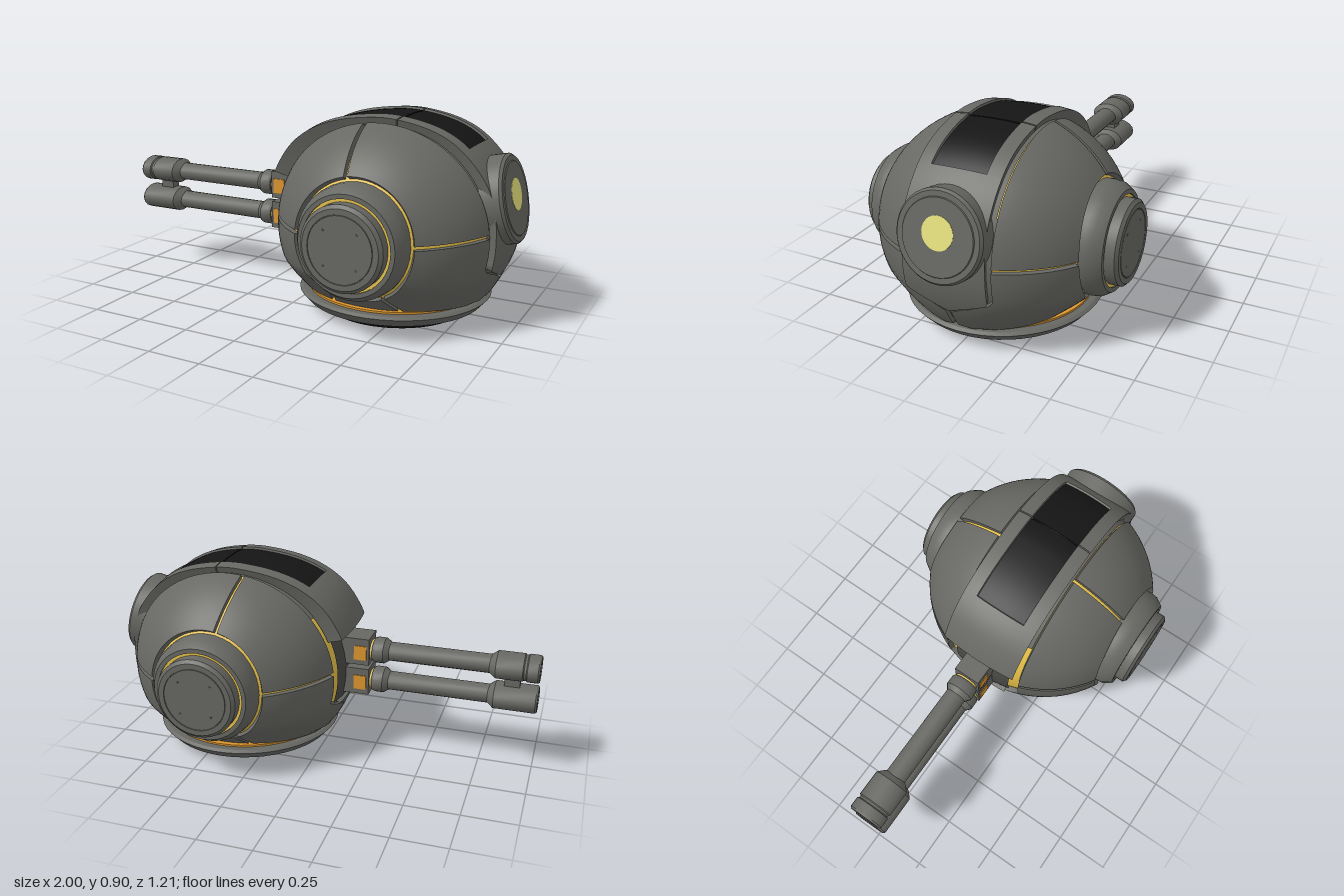
import * as THREE from 'three';
import { mergeGeometries, toCreasedNormals } from 'three/addons/utils/BufferGeometryUtils.js';

const mat = (name, color) => new THREE.MeshStandardMaterial({ name, color, side: THREE.DoubleSide });
const V = (x, y, z) => new THREE.Vector3(x, y, z);
const lerp = THREE.MathUtils.lerp;
const smooth = THREE.MathUtils.smoothstep;
const rad = THREE.MathUtils.degToRad;

// Body ellipsoid
const C = V(0.41, 0.40, 0), RX = 0.54, RY = 0.51, RZ = 0.56;
// Centre of the side hubs
const HUB_X = 0.418, HUB_Y = 0.42;

// Surface from a rule (u, v) => point
function sheet(f, nu, nv) {
  const pos = [], idx = [];
  for (let i = 0; i <= nu; i++) for (let j = 0; j <= nv; j++) pos.push(...f(i / nu, j / nv).toArray());
  for (let i = 0; i < nu; i++) for (let j = 0; j < nv; j++) {
    const a = i * (nv + 1) + j, b = a + nv + 1;
    idx.push(a, b, a + 1, b, b + 1, a + 1);
  }
  const g = new THREE.BufferGeometry();
  g.setAttribute('position', new THREE.Float32BufferAttribute(pos, 3));
  g.setIndex(idx);
  g.computeVertexNormals();
  return g;
}

// Armour plate: curved sheet with walls down to the core
function plate(f, nu, nv, depth) {
  const wall = (edge, n) => sheet((s, t) => { const p = edge(s); return p.lerp(C, t * (1 - depth)); }, n, 1);
  return mergeGeometries([
    sheet(f, nu, nv),
    wall(s => f(s, 0), nu), wall(s => f(s, 1), nu),
    wall(s => f(0, s), nv), wall(s => f(1, s), nv),
  ]);
}

// Half width of the centre band; it narrows to a point low down
const bandHalf = y => 0.19 * THREE.MathUtils.clamp((y - 0.21) / 0.07, 0, 1);
// The flanks tuck in towards the base
const tuck = p => { p.z *= 1 - 0.17 * THREE.MathUtils.clamp((0.25 - p.y) / 0.15, 0, 1); return p; };

// Wedge-shaped flank plate, radiating from the side hub
function wedge(a0, a1, side) {
  const gap = 0.009, inner = 0.272;
  const at = (u, r) => {
    const a = lerp(rad(a0) + gap / r, rad(a1) - gap / r, u);
    const x = HUB_X + r * Math.cos(a), y = HUB_Y + r * Math.sin(a);
    const k = 1 - ((x - C.x) / RX) ** 2 - ((y - C.y) / RY) ** 2;
    return V(x, y, k > 0 ? RZ * Math.sqrt(k) : -1);
  };
  const limits = new Map();
  const limit = u => {
    if (limits.has(u)) return limits.get(u);
    let lo = inner, hi = 0.62;
    for (let i = 0; i < 30; i++) {
      const m = (lo + hi) / 2, p = at(u, m);
      if (p.y > 0.099 && p.z > bandHalf(p.y) + 0.013) lo = m; else hi = m;
    }
    limits.set(u, lo);
    return lo;
  };
  return plate((u, v) => {
    const p = tuck(at(u, lerp(inner, limit(u), 1 - (1 - v) ** 2)));
    p.z *= side;
    return p;
  }, 28, 12, 0.93);
}

// Plate of the centre band between two angles, za and zb as fractions of its half width
function band(d0, d1, za, zb, sink = 0) {
  return plate((u, v) => {
    const d = lerp(d0, d1, u), a = rad(d);
    const y = C.y + RY * Math.sin(a), z = lerp(za, zb, v) * bandHalf(y);
    const flare = 0.1 * smooth(d, 95, 145) * (1 - smooth(d, 160, 190)) + 0.035 * smooth(d, 0, 30) * (1 - smooth(d, 50, 82));
    const f = (1 + flare - sink) * Math.sqrt(1 - (z / 0.84) ** 2);
    return V(C.x + RX * f * Math.cos(a), C.y + RY * f * Math.sin(a), z);
  }, 36, 8, 0.86);
}

// Inner lining beneath the centre band, just above the core
const lining = (d0, d1, half) => sheet((u, v) => {
  const a = rad(lerp(d0, d1, u)), z = lerp(-half, half, v);
  const f = 0.97 * Math.sqrt(1 - (z / RZ) ** 2);
  return tuck(V(C.x + RX * f * Math.cos(a), C.y + RY * f * Math.sin(a), z));
}, 48, 8);

const lathe = (pts, seg = 40) =>
  toCreasedNormals(new THREE.LatheGeometry(pts.map(p => new THREE.Vector2(...p)), seg), 0.5);

export function createModel() {
  const root = new THREE.Group();
  root.name = 'turret';
  const grey = mat('gunmetal', 0x676763), black = mat('black', 0x151515), dark = mat('darkRecess', 0x4a4a47);
  const gold = mat('gold', 0xe8c24a), orange = mat('orange', 0xdc962e), lens = mat('paleYellow', 0xe8e480);
  const add = (name, geo, m, parent = root) => {
    const o = new THREE.Mesh(geo, m);
    o.name = name;
    parent.add(o);
    return o;
  };

  // Base
  add('baseFoot', lathe([[0, 0], [0.335, 0], [0.4, 0.04]], 48), black).position.x = C.x;
  add('baseRing', lathe([[0.39, 0.038], [0.41, 0.04], [0.445, 0.08], [0.43, 0.09], [0.3, 0.09]], 48), grey).position.x = C.x;
  add('baseSeam', lathe([[0.4, 0.088], [0.4, 0.099], [0.36, 0.099]], 48), orange).position.x = C.x;

  // Glowing core seen through the seams
  add('core', sheet((u, v) => {
    const a = u * Math.PI * 2, b = lerp(-0.66, Math.PI / 2, v);
    return tuck(V(C.x + 0.955 * RX * Math.cos(b) * Math.cos(a), C.y + 0.955 * RY * Math.sin(b), 0.955 * RZ * Math.cos(b) * Math.sin(a)));
  }, 48, 24), gold);

  // Flank plates and hubs, mirrored front and back
  for (const side of [1, -1]) {
    [[2, 100], [100, 178], [178, 245], [245, 297], [297, 362]].forEach(([a, b], i) =>
      add('flankPlate' + (i + 1), wedge(a, b, side), grey));
    const hub = new THREE.Group();
    hub.name = side > 0 ? 'frontHub' : 'backHub';
    hub.position.set(HUB_X, HUB_Y, 0);
    hub.rotation.x = side * Math.PI / 2;
    root.add(hub);
    add('hubCollar', lathe([[0.25, 0.42], [0.25, 0.48], [0.245, 0.515], [0.22, 0.553], [0.2, 0.553], [0.2, 0.53]]), grey, hub);
    add('hubSeam', lathe([[0.2, 0.545], [0.18, 0.545]]), gold, hub);
    add('hubCap', lathe([[0.187, 0.535], [0.187, 0.592], [0.172, 0.605], [0.148, 0.605], [0.147, 0.601], [0.145, 0.601], [0.144, 0.605], [0, 0.605]]), grey, hub);
    for (const x of [-0.075, 0.075]) for (const z of [-0.075, 0.075])
      add('bolt', new THREE.CylinderGeometry(0.006, 0.006, 0.004, 8), dark, hub).position.set(x, 0.604, z);
  }

  // Centre band: hood, window rails, windows, rear and lower plates
  add('hood', band(129, 158, -1, 1), grey);
  for (const [d0, d1, tag] of [[82.7, 129, 'Fore'], [47.5, 82, 'Aft']]) {
    add('rail' + tag, band(d0, d1, 0.66, 1), grey);
    add('rail' + tag, band(d0, d1, -1, -0.66), grey);
    add('window' + tag, band(d0, d1, -0.67, 0.67, 0.02), black);
  }
  add('rearPlate', band(-21.8, 47.5, -1, 1), grey);
  add('lowerGunPlate', band(196, 201.8, -1, 1), grey);
  add('rearLining', lining(-38, 30, 0.2), grey);
  add('upperLining', lining(30, 142, 0.194), grey);
  add('gunRecess', lining(142, 196, 0.15), dark);
  add('lowerLining', lining(196, 218, 0.2), grey);

  // Rear eye
  const eye = new THREE.Group();
  eye.name = 'eye';
  eye.position.set(0.959, 0.565, 0);
  eye.rotation.z = -rad(78);
  root.add(eye);
  add('eyeHousing', lathe([[0.196, -0.14], [0.196, -0.012], [0.186, 0], [0.163, 0], [0.16, 0.004], [0, 0.004]]), grey, eye);
  add('eyeLens', new THREE.CylinderGeometry(0.071, 0.071, 0.004, 32), lens, eye).position.set(-0.018, 0.0035, 0);

  // Twin guns pointing along -x
  for (const y of [0.5, 0.35]) {
    const gun = new THREE.Group();
    gun.name = y > 0.4 ? 'upperGun' : 'lowerGun';
    gun.position.y = y;
    root.add(gun);
    const along = (name, pts, m, zScale = 1) => {
      const o = add(name, lathe(pts, 16), m, gun);
      o.rotation.z = Math.PI / 2;
      o.scale.z = zScale;
    };
    add('mantlet', new THREE.BoxGeometry(0.17, 0.13, 0.13), grey, gun).position.set(-0.135, 0.005, 0);
    for (const z of [-0.066, 0.066])
      add('mantletGlow', new THREE.BoxGeometry(0.06, 0.07, 0.006), orange, gun).position.set(-0.178, 0, z);
    along('neck', [[0.046, 0.21], [0.046, 0.245]], grey, 1.2);
    along('neckGlow', [[0.048, 0.222], [0.048, 0.228]], gold, 1.2);
    along('collar', [[0, 0.232], [0.055, 0.232], [0.06, 0.245], [0.06, 0.285], [0.043, 0.31]], grey, 1.15);
    along('barrel', [[0.043, 0.29], [0.043, 0.8]], grey, 1.17);
    // The upper muzzle has a ring groove, the lower one is plain
    const groove = y > 0.4 ? [[0.061, 0.925], [0.056, 0.93], [0.056, 0.94], [0.061, 0.945]] : [];
    along('muzzle', [[0.04, 0.775], [0.061, 0.805], ...groove, [0.061, 0.992], [0.056, 1], [0.036, 1], [0.036, 0.95]], grey, 1.4);
    along('bore', [[0.036, 0.96], [0, 0.96]], black, 1.4);
  }
  add('muzzleLink', new THREE.BoxGeometry(0.07, 0.06, 0.05), grey).position.set(-0.88, 0.425, 0);
  return root;
}
